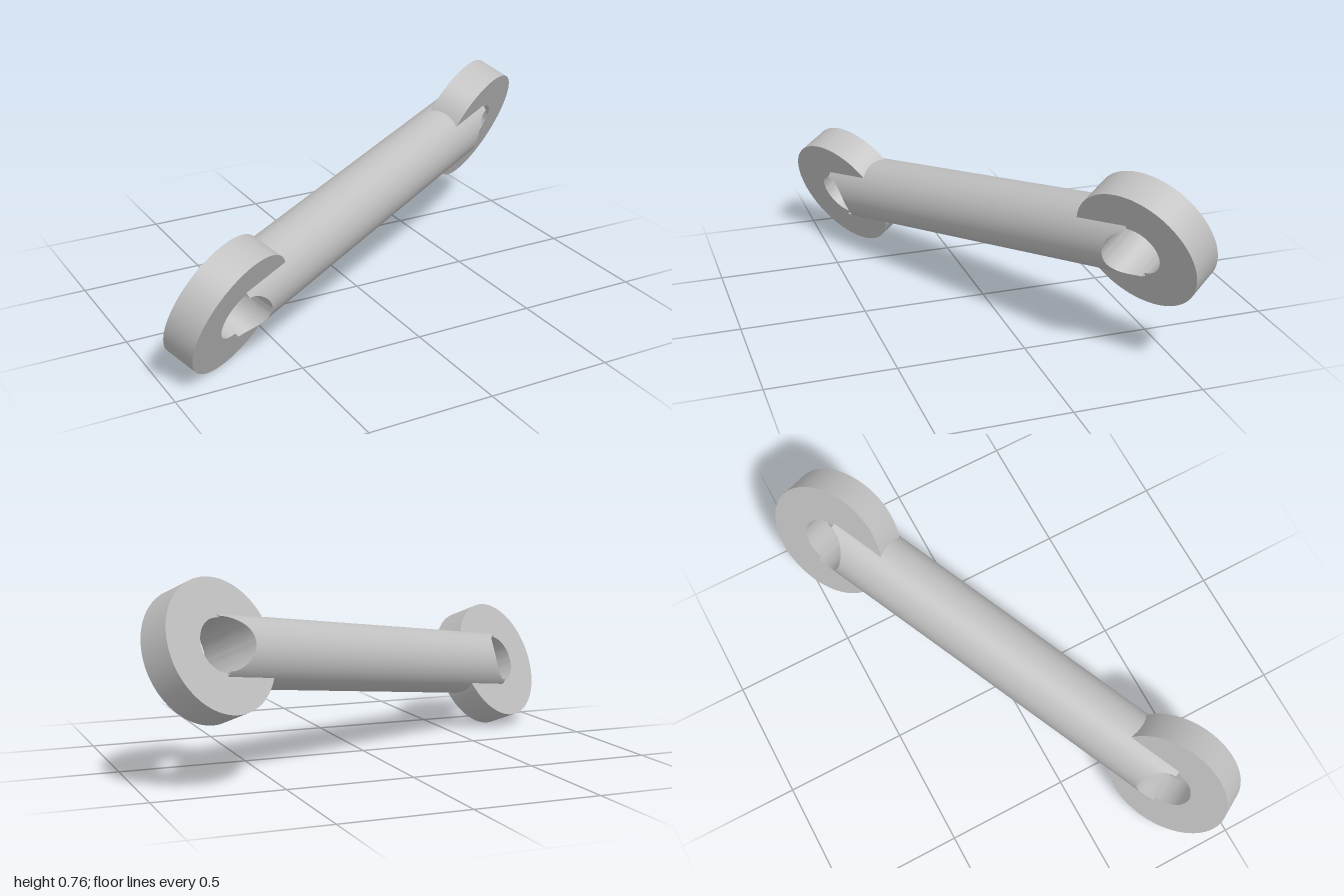
import * as THREE from 'three';
import { toCreasedNormals } from 'three/addons/utils/BufferGeometryUtils.js';

const HALF = 0.836;       // half the distance between ring centres
const RING_R = 0.257, HOLE_R = 0.103, RING_T = 0.068; // RING_T is half the thickness
const ROD_R = 0.135;

// Where the rod ends at sideways offset y: a flat end bitten by the round hole
const rodEnd = (y) => HALF - Math.sqrt(Math.max(0, HOLE_R * HOLE_R - y * y));

function ringGeometry() {
  const shape = new THREE.Shape().absarc(0, 0, RING_R, 0, Math.PI * 2, false);
  shape.holes.push(new THREE.Path().absarc(0, 0, HOLE_R, 0, Math.PI * 2, true));
  const geo = new THREE.ExtrudeGeometry(shape, { depth: RING_T * 2, bevelEnabled: false, curveSegments: 40 });
  geo.translate(0, 0, -RING_T);
  return toCreasedNormals(geo, 0.5);
}

// Round bar with both ends trimmed to the holes
function rodGeometry() {
  const geo = new THREE.CylinderGeometry(ROD_R, ROD_R, 1, 128, 1, true).rotateZ(Math.PI / 2);
  const p = geo.attributes.position;
  for (let i = 0; i < p.count; i++) p.setX(i, Math.sign(p.getX(i)) * rodEnd(p.getY(i)));
  return geo;
}

// Curved end face of the rod standing above the ring face (right end, +z side)
function endWallGeometry() {
  const n = 40, chord = Math.sqrt(ROD_R ** 2 - RING_T ** 2);
  const ys = [-chord];
  for (let i = 0; i <= n; i++) ys.push(-HOLE_R * Math.cos((Math.PI * i) / n));
  ys.push(chord);
  const pos = [], idx = [];
  ys.forEach((y, i) => {
    pos.push(rodEnd(y), y, RING_T, rodEnd(y), y, Math.sqrt(ROD_R ** 2 - y * y));
    const a = i * 2;
    if (i < ys.length - 1) idx.push(a, a + 2, a + 1, a + 1, a + 2, a + 3);
  });
  const geo = new THREE.BufferGeometry();
  geo.setAttribute('position', new THREE.Float32BufferAttribute(pos, 3));
  geo.setIndex(idx);
  return toCreasedNormals(geo, 0.5);
}

export function createModel() {
  const steel = new THREE.MeshStandardMaterial({ color: 0xc0c0c0, side: THREE.DoubleSide });
  steel.name = 'grey steel';
  const model = new THREE.Group();
  model.name = 'connectingRod';
  const add = (name, geo) => {
    const mesh = new THREE.Mesh(geo, steel);
    mesh.name = name;
    model.add(mesh);
    return mesh;
  };

  add('rod', rodGeometry());
  const ring = ringGeometry(), wall = endWallGeometry();
  for (const [side, s] of [['right', -1], ['left', 1]]) {
    add(side + 'Ring', ring).position.x = s * HALF;
    // Half turns carry the end wall to all four places
    add(side + 'FrontRodEnd', wall).rotation.z = s > 0 ? 0 : Math.PI;
    const back = add(side + 'BackRodEnd', wall);
    if (s > 0) back.rotation.x = Math.PI;
    else back.rotation.y = Math.PI;
  }

  // Tilt: rod along xAxis, ring bores along zAxis
  const xAxis = new THREE.Vector3(1.48, 0.236, -0.742).normalize();
  const zAxis = new THREE.Vector3(0.45, -0.38, 0.8);
  zAxis.addScaledVector(xAxis, -zAxis.dot(xAxis)).normalize();
  const yAxis = new THREE.Vector3().crossVectors(zAxis, xAxis);
  model.quaternion.setFromRotationMatrix(new THREE.Matrix4().makeBasis(xAxis, yAxis, zAxis));
  model.position.y = 0.381;

  const root = new THREE.Group();
  root.name = 'link';
  root.add(model);
  return root;
}
